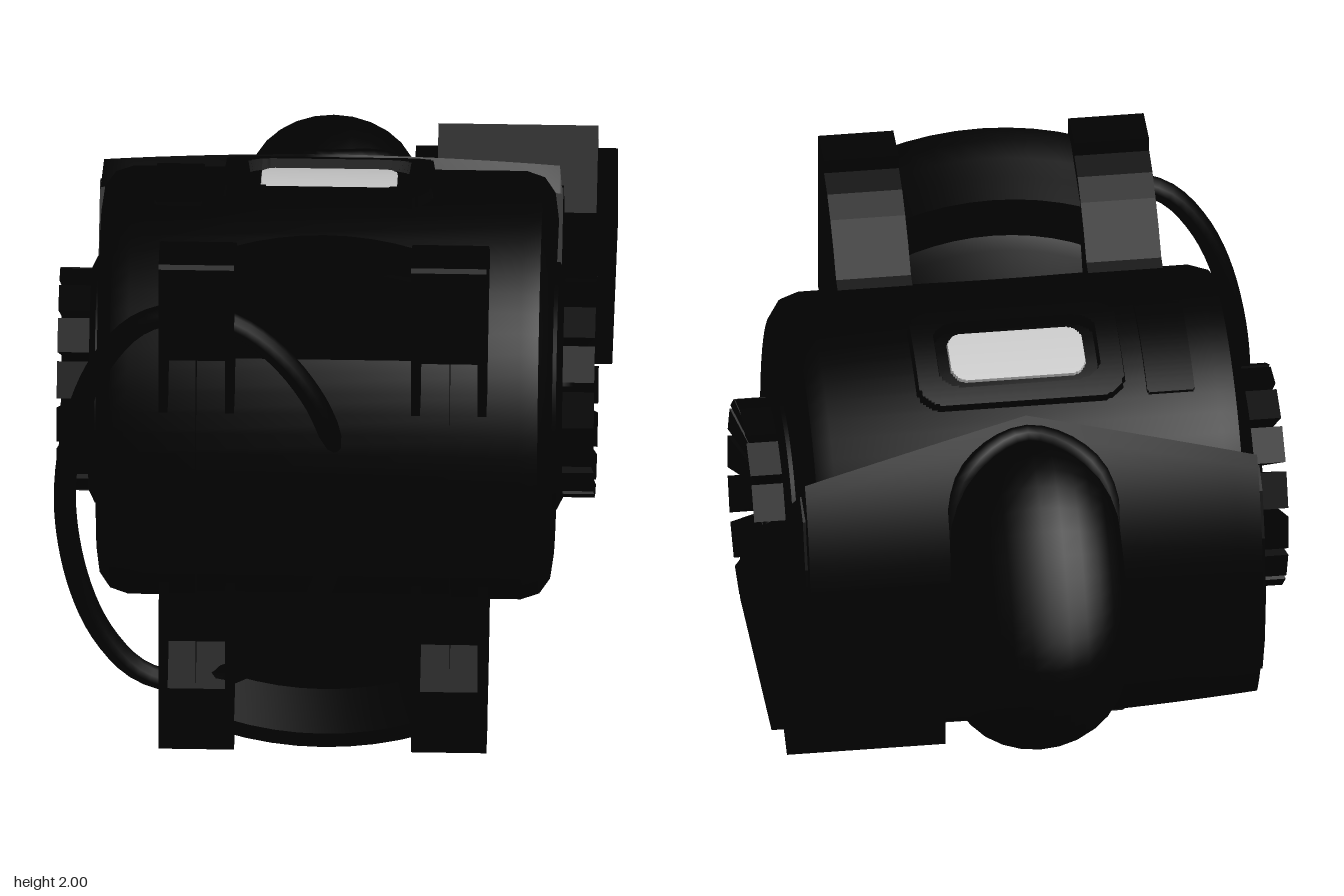
import * as THREE from 'three';
import { toCreasedNormals } from 'three/addons/utils/BufferGeometryUtils.js';

const black = new THREE.MeshStandardMaterial({ color: 0x010101 });
black.name = 'black shell';
const blackThin = new THREE.MeshStandardMaterial({ color: 0x010101, side: THREE.DoubleSide });
blackThin.name = 'black thin shell';
const lightGrey = new THREE.MeshStandardMaterial({ color: 0xcccccc });
lightGrey.name = 'light grey window';

const DRUM_Z = 0.24, DRUM_R = 0.71;
const v2 = (a) => a.map(([x, y]) => new THREE.Vector2(x, y));
const v3 = (a) => a.map((p) => new THREE.Vector3(...p));

function add(parent, name, geometry, material = black, x = 0, y = 0, z = 0) {
  const mesh = new THREE.Mesh(geometry, material);
  mesh.name = name;
  mesh.position.set(x, y, z);
  parent.add(mesh);
  return mesh;
}

// Lathe turned about the x axis; points are [radius, x]
function latheX(points, segments = 48) {
  const g = new THREE.LatheGeometry(v2(points), segments);
  g.rotateZ(-Math.PI / 2);
  return toCreasedNormals(g, 0.6);
}

// Side profile of [z, y] points extruded across x, centred
function sideProfile(points, width) {
  const g = new THREE.ExtrudeGeometry(new THREE.Shape(v2(points)), { depth: width, bevelEnabled: false });
  g.rotateY(-Math.PI / 2);
  g.translate(width / 2, 0, 0);
  return g;
}

// Rounded pad wrapped on the drum; a is its angle behind the top, hole its inner [width, length, corner]
function wrappedPad(w, l, corner, radius, a, hole) {
  const g = new THREE.PlaneGeometry(w + 0.02, l + 0.02, 80, 56);
  const inside = (x, s, W, L, c) =>
    Math.hypot(Math.max(Math.abs(x) - W / 2 + c, 0), Math.max(Math.abs(s) - L / 2 + c, 0)) <= c;
  const p = g.attributes.position;
  for (let i = 0; i < p.count; i++) {
    const x = p.getX(i), s = p.getY(i);
    const raised = inside(x, s, w, l, corner) && !(hole && inside(x, s, ...hole));
    const r = raised ? radius : DRUM_R - 0.015, t = a + s / radius;
    p.setXYZ(i, x, r * Math.cos(t), DRUM_Z - r * Math.sin(t));
  }
  return toCreasedNormals(g, 0.5);
}

// Funnel-shaped fan of blades facing +x
function makeVent() {
  const vent = new THREE.Group();
  vent.name = 'sideVent';
  add(vent, 'ventBase', latheX([[0.41, 0.7], [0.41, 0.765], [0.37, 0.785], [0.15, 0.775], [0.13, 0.74], [0, 0.74]]));
  const hub = add(vent, 'ventHubRing', new THREE.TorusGeometry(0.135, 0.025, 8, 28), black, 0.785);
  hub.rotation.y = Math.PI / 2;
  const count = 15, step = (Math.PI * 2) / count;
  for (let i = 0; i < count; i++) {
    const corner = (r, a) => [Math.cos(a) * r, Math.sin(a) * r];
    const g = sideProfile([
      corner(0.15, -step * 0.2), corner(0.37, -step * 0.4),
      corner(0.37, step * 0.4), corner(0.15, step * 0.5),
    ], 0.1);
    const p = g.attributes.position;
    for (let k = 0; k < p.count; k++) {
      const r = Math.hypot(p.getY(k), p.getZ(k));
      p.setX(k, p.getX(k) > 0 ? (r > 0.3 ? 0.89 : 0.81) : 0.76);
    }
    g.computeVertexNormals();
    add(vent, 'ventBlade', g).rotation.x = i * step;
  }
  vent.position.z = DRUM_Z;
  return vent;
}

// Parts repeated above and below: mounting arms and the window
function makeUpperParts() {
  const upper = new THREE.Group();
  upper.name = 'mountingSet';
  const top = [
    [0.955, 0.99], [0.94, 1], [0.8, 0.99], [0.795, 0.945], [0.71, 0.915],
    [0.63, 0.865], [0.55, 0.8], [0.48, 0.725], [0.44, 0.71], [0.44, 0.6],
  ];
  for (const s of [-1, 1]) {
    const arm = new THREE.Group();
    arm.name = 'mountingArm';
    for (const e of [-1, 1])
      add(arm, 'armFlange', sideProfile([[0.955, 0.4], ...top, [0.8, 0.4]], 0.03), black, e * 0.11);
    add(arm, 'armWeb', sideProfile([[0.8, 0.5], [0.8, 0.66], [0.955, 0.74], ...top], 0.2));
    arm.position.x = s * 0.418;
    upper.add(arm);
  }
  // Window pane inside a raised frame, wrapped on the drum
  add(upper, 'windowFrame', wrappedPad(0.7, 0.42, 0.1, 0.747, 0.31, [0.54, 0.27, 0.08]));
  add(upper, 'windowPane', wrappedPad(0.45, 0.205, 0.055, 0.722, 0.305), lightGrey);
  return upper;
}

export function createModel() {
  const model = new THREE.Group();
  model.name = 'deviceModel';
  const body = new THREE.Group();
  body.name = 'body';
  body.position.set(-0.02, 1, 0);
  model.add(body);

  // Main drum with rounded ends
  add(body, 'mainDrum', latheX([
    [0, -0.74], [0.57, -0.755], [0.64, -0.745], [0.69, -0.71], [0.71, -0.65],
    [0.71, 0.65], [0.69, 0.71], [0.64, 0.745], [0.57, 0.755], [0, 0.74],
  ], 64), black, 0, 0, DRUM_Z);

  // Vents on both ends
  const vent = makeVent();
  const vent2 = vent.clone();
  vent2.rotation.y = Math.PI;
  body.add(vent, vent2);

  // Front disc: stepped back, recessed face, cut flat where the arms hold it
  const profile = [
    [0.5, 0.5], [0.72, 0.6], [0.76, 0.63], [0.9, 0.63], [0.93, 0.72],
    [0.955, 0.8], [0.98, 0.87], [0.985, 0.94], [0.93, 0.94], [0.88, 0.76], [0, 0.76],
  ];
  const disc = new THREE.LatheGeometry(v2(profile), 72).rotateX(Math.PI / 2);
  const dp = disc.attributes.position;
  for (let i = 0; i < dp.count; i++) dp.setX(i, THREE.MathUtils.clamp(dp.getX(i), -0.42, 0.42));
  add(body, 'frontDisc', toCreasedNormals(disc, 0.4), blackThin);

  // Arms and windows, above and below
  const upper = makeUpperParts();
  const lower = upper.clone();
  lower.rotation.z = Math.PI;
  body.add(upper, lower);

  // Small access plate wrapped on the drum
  add(body, 'accessPlate', wrappedPad(0.16, 0.4, 0.015, 0.72, 0.3), black, -0.495);

  // Rear cover whose edges sweep back towards the sides
  const NX = 20, NA = 24;
  const cover = new THREE.PlaneGeometry(1.53, 1, NX, NA);
  const cp = cover.attributes.position;
  for (let j = 0; j <= NA; j++) for (let i = 0; i <= NX; i++) {
    const k = j * (NX + 1) + i, x = cp.getX(k);
    const start = 0.66 + 0.26 * Math.min(1, Math.abs(x) / 0.72);
    const row = THREE.MathUtils.clamp((j - 1) / (NA - 2), 0, 1);
    const a = start + row * (Math.PI - 2 * start);
    const edge = j === 0 || j === NA || i === 0 || i === NX;
    const r = edge ? 0.66 : 0.755;
    const px = i === 0 || i === NX ? x : THREE.MathUtils.clamp(x * 1.1, -0.755, 0.755);
    cp.setXYZ(k, px, r * Math.cos(a), DRUM_Z - r * Math.sin(a));
  }
  add(body, 'rearCover', toCreasedNormals(cover, 0.6), blackThin);

  // Wedge-shaped cheeks where the cover wraps onto the drum ends
  add(body, 'coverCheeks', sideProfile([
    [-0.06, 0.2], [-0.32, 0.4], [-0.4, 0.35], [-0.46, 0.2], [-0.49, 0],
    [-0.46, -0.2], [-0.4, -0.35], [-0.32, -0.4], [-0.06, -0.2],
  ], 1.535));

  // Rear pod: a wheel with a fully rounded rim, drawn in towards its tip
  const podProfile = [[0, -0.285]];
  for (let i = 0; i <= 14; i++) {
    const a = -Math.PI / 2 + (i / 14) * Math.PI;
    podProfile.push([0.265 + 0.285 * Math.cos(a), 0.285 * Math.sin(a)]);
  }
  podProfile.push([0, 0.285]);
  const pod = latheX(podProfile);
  const rp = pod.attributes.position;
  for (let i = 0; i < rp.count; i++) {
    const t = Math.max(0, -rp.getZ(i) / 0.55);
    rp.setY(i, rp.getY(i) * (1 - 0.45 * t * t));
  }
  pod.computeVertexNormals();
  add(body, 'rearPod', toCreasedNormals(pod, 0.6), black, 0, 0, -0.395);

  // Collar where the pod meets the cover
  const collar = new THREE.CatmullRomCurve3(v3([
    [0, 0.545, -0.26], [0.22, 0.45, -0.36], [0.27, 0, -0.49], [0.22, -0.45, -0.36],
    [0, -0.545, -0.26], [-0.22, -0.45, -0.36], [-0.27, 0, -0.49], [-0.22, 0.45, -0.36],
  ]), true);
  add(body, 'podCollar', new THREE.TubeGeometry(collar, 64, 0.036, 8, true));

  // Side bracket reaching behind the body, with a block flaring to the rear
  add(body, 'bracketArm', new THREE.BoxGeometry(0.18, 0.28, 0.82), black, 0.845, 0, -0.48);
  add(body, 'bracketCross', new THREE.BoxGeometry(0.67, 0.28, 0.4), black, 0.6, 0, -0.69);
  add(body, 'bracketBlock', sideProfile([
    [-0.53, 0.14], [-0.8, 0.3], [-0.8, -0.3], [-0.53, -0.14],
  ], 0.53), black, 0.607);

  // Curved handle loop on the right of the front
  const half = [[0.04, 0.22, 0.88], [-0.03, 0.42, 0.9], [-0.14, 0.59, 0.9], [-0.28, 0.71, 0.89], [-0.44, 0.765, 0.89], [-0.6, 0.72, 0.89], [-0.72, 0.58, 0.89], [-0.81, 0.35, 0.89]];
  const loop = [...half, [-0.855, 0, 0.89], ...half.map(([x, y, z]) => [x, -y, z]).reverse()];
  add(body, 'handleLoop', new THREE.TubeGeometry(new THREE.CatmullRomCurve3(v3(loop)), 72, 0.038, 10));

  return model;
}
